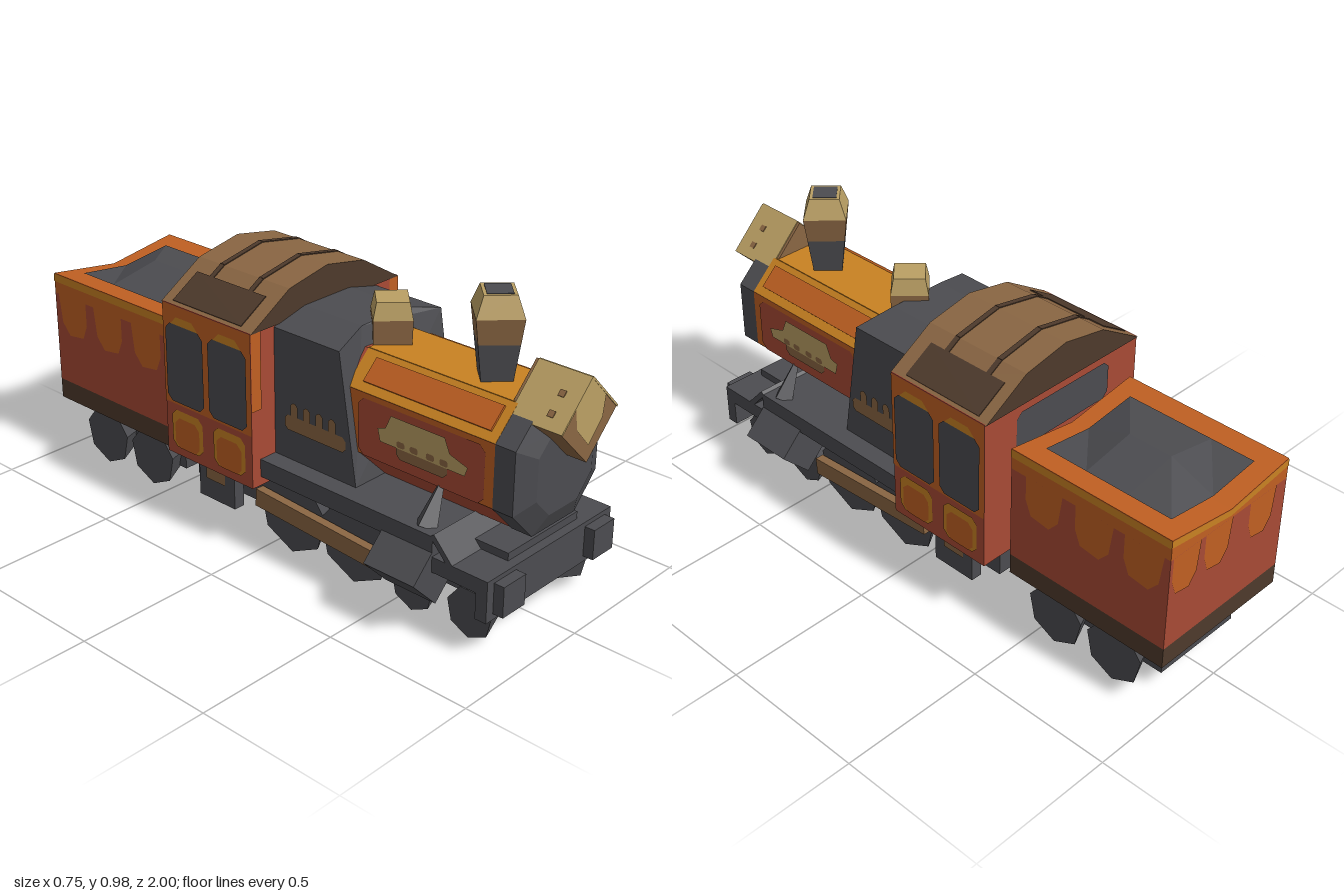
import * as THREE from 'three';

const mat = (name, color) => {
  const m = new THREE.MeshStandardMaterial({ color });
  m.name = name;
  return m;
};

export function createModel() {
  const gray = mat('iron gray', 0x4c4c50), red = mat('brick red', 0xa84a35);
  const orange = mat('orange', 0xc06022), yellow = mat('amber', 0xc98222);
  const tan = mat('brass', 0xbba064), brown = mat('bronze', 0x8a6643);
  const dark = mat('dark brown', 0x4e3a2c);
  const root = new THREE.Group();
  root.name = 'steamTrain';

  // Faceted mesh
  const add = (name, geo, material) => {
    const g = geo.index ? geo.toNonIndexed() : geo;
    g.computeVertexNormals();
    const mesh = new THREE.Mesh(g, material);
    mesh.name = name;
    root.add(mesh);
    return mesh;
  };
  // Box given by its limits
  const box = (name, m, x0, x1, y0, y1, z0, z1) =>
    add(name, new THREE.BoxGeometry(x1 - x0, y1 - y0, z1 - z0)
      .translate((x0 + x1) / 2, (y0 + y1) / 2, (z0 + z1) / 2), m);
  const shape = pts => new THREE.Shape(pts.map(p => new THREE.Vector2(p[0], p[1])));
  // Cross-section in x, y carried along z
  const prism = (name, m, pts, z0, z1) =>
    add(name, new THREE.ExtrudeGeometry(shape(pts), { depth: z1 - z0, bevelEnabled: false }).translate(0, 0, z0), m);
  // Painted panel on both flanks, points in z, y
  const flank = (name, m, x, pts) => {
    for (const s of [-1, 1]) {
      const g = new THREE.ShapeGeometry(shape(pts.map(p => [-s * p[0], p[1]])));
      add(name, g.rotateY(s * Math.PI / 2).translate(s * x, 0, 0), m);
    }
  };
  // Painted panel on an end, points in x, y
  const endPanel = (name, m, z, pts, dir) => {
    const g = new THREE.ShapeGeometry(shape(pts.map(p => [p[0] * dir, p[1]])));
    if (dir < 0) g.rotateY(Math.PI);
    add(name, g.translate(0, 0, z), m);
  };
  // Mirrored slabs lying along a sloping line in x, y
  const slab = (name, m, a, b, z0, z1, thick = 0.006) => {
    const dx = b[0] - a[0], dy = b[1] - a[1];
    for (const s of [-1, 1]) {
      add(name, new THREE.BoxGeometry(Math.hypot(dx, dy), thick, z1 - z0)
        .rotateZ(s * Math.atan2(dy, dx))
        .translate(s * (a[0] + b[0]) / 2, (a[1] + b[1]) / 2, (z0 + z1) / 2), m);
    }
  };
  const rect = (a, b, c, d, k = 0) => [[a + k, c], [b - k, c], [b, c + k], [b, d - k], [b - k, d], [a + k, d], [a, d - k], [a, c + k]];
  const lerp = (a, b, t) => [a[0] + (b[0] - a[0]) * t, a[1] + (b[1] - a[1]) * t];

  // Boiler
  const octagon = (k = 1) => [[.1, .72], [.195, .63], [.195, .43], [.1, .33], [-.1, .33], [-.195, .43], [-.195, .63], [-.1, .72]]
    .map(([x, y]) => [x * k, .525 + (y - .525) * k]);
  prism('boiler', red, octagon(), .2, .83);
  box('boilerTopPaint', yellow, -.1, .1, .717, .723, .28, .83);
  slab('boilerShoulderPaint', yellow, [.1, .72], [.195, .63], .28, .83);
  slab('boilerShoulderPanel', orange, [.118, .709], [.177, .653], .33, .8, .012);
  flank('boilerSideBorder', orange, .197, rect(.29, .83, .43, .63));
  flank('boilerSidePanel', red, .2, rect(.33, .8, .43, .615, .02));
  flank('namePlateBase', brown, .203, rect(.48, .67, .465, .53, .015));
  flank('namePlate', tan, .205, [[.745, .53], [.68, .55], [.66, .595], [.46, .595], [.44, .55], [.41, .54], [.42, .5], [.735, .5]]);
  for (const z of [.5, .55, .61, .66]) flank('namePlateStud', brown, .207, rect(z - .015, z + .015, .505, .525, .005));

  // Smokebox with chamfered nose
  prism('smokebox', gray, octagon(1.01), .83, .9);
  const nose = new THREE.ExtrudeGeometry(shape(octagon(1.01)), { depth: .03, bevelEnabled: false });
  const np = nose.attributes.position;
  for (let i = 0; i < np.count; i++) {
    if (np.getZ(i) > .01) np.setXY(i, np.getX(i) * .66, .525 + (np.getY(i) - .525) * .66);
  }
  add('smokeboxNose', nose.translate(0, 0, .9), gray);

  // Headlamp
  prism('lampBody', brown, [[0, .56], [.13, .69], [0, .82], [-.13, .69]], .81, .997);
  slab('lampHood', tan, [0, .82], [.13, .69], .82, 1);
  endPanel('lampGlass', tan, .999, [[0, .82], [.07, .745], [.06, .68], [0, .615], [-.06, .68], [-.07, .745]], 1);
  for (const t of [.35, .7]) slab('lampRivet', brown, [.13 * t, .822 - .13 * t], [.13 * t + .014, .808 - .13 * t], .93, .95, .01);

  // Chimney and steam dome, four-sided
  const stack = (name, m, r0, r1, y0, y1, z, open = false) =>
    add(name, new THREE.CylinderGeometry(r1, r0, y1 - y0, 4, 1, open).translate(0, (y0 + y1) / 2, z), m);
  stack('chimneyPipe', gray, .062, .085, .7, .84, .67);
  stack('chimneyFlare', brown, .085, .098, .84, .92, .67);
  stack('chimneyRim', tan, .098, .068, .92, .985, .67);
  stack('chimneyMouth', gray, .054, .054, .98, .987, .67);
  stack('domeBase', brown, .08, .085, .68, .8, .28);
  stack('domeCap', tan, .085, .07, .8, .855, .28);

  // Firebox with raked front
  const fire = new THREE.ExtrudeGeometry(shape([[-.23, .33], [.23, .33], [.23, .75], [.1, .782], [-.1, .782], [-.23, .75]]), { depth: 1, bevelEnabled: false });
  const fp = fire.attributes.position;
  for (let i = 0; i < fp.count; i++) {
    const y = fp.getY(i);
    if (fp.getZ(i) > .5) fp.setZ(i, y > .76 ? .25 : .35 - (y - .33) / 6);
  }
  add('firebox', fire, gray);
  flank('pipeManifold', brown, .233, rect(.06, .31, .43, .48, .012));
  for (let i = 0; i < 4; i++) flank('pipe', brown, .234, rect(.085 + i * .052, .115 + i * .052, .46, .525, .01));

  // Cab
  box('cabBody', red, -.33, .33, .24, .757, -.37, .015);
  flank('cabSidePaint', orange, .332, rect(-.37, .015, .42, .755));
  for (const z of [-.083, -.272]) {
    flank('windowTrim', yellow, .334, rect(z - .06, z + .06, .66, .72, .025));
    flank('cabWindow', gray, .336, rect(z - .083, z + .083, .43, .695, .02));
    flank('lowerPanelTrim', yellow, .333, rect(z - .07, z + .07, .27, .4, .02));
    flank('lowerPanel', orange, .335, rect(z - .055, z + .055, .27, .375, .02));
  }
  for (const s of [-1, 1]) endPanel('cabFrontPaint', orange, .018, rect(s * .31 - .02, s * .31 + .02, .5, .755), 1);
  endPanel('cabRearWindow', gray, -.373, rect(-.2, .2, .6, .73, .02), -1);

  // Arched roof with dark gables
  const eave = [.33, .755], bend = [.165, .855], ridge = [0, .886];
  prism('roof', [dark, brown], [[-.33, .755], eave, bend, ridge, [-.165, .855]], -.375, .018);
  slab('roofPatch', dark, lerp(eave, bend, .08), lerp(eave, bend, .72), -.335, -.035);
  for (const z of [-.27, -.1]) {
    slab('roofRib', dark, lerp(eave, bend, .7), bend, z - .009, z + .009);
    slab('roofRib', dark, bend, ridge, z - .009, z + .009);
  }

  // Running plate, frame and front beam
  box('runningPlate', gray, -.295, .295, .27, .33, -.02, .7);
  box('frame', gray, -.165, .165, .1, .29, -.02, .87);
  box('rearFrame', gray, -.23, .23, .13, .26, -.34, 0);
  box('frontDeck', gray, -.295, .295, .215, .265, .69, .89);
  box('bufferBeam', gray, -.295, .295, .13, .265, .86, .9);
  add('slopedStep', new THREE.BoxGeometry(.59, .018, .11).rotateX(.82).translate(0, .293, .735), gray);
  for (const s of [-1, 1]) {
    box('buffer', gray, s * .215 - .05, s * .215 + .05, .15, .25, .9, .935);
    add('cylinder', new THREE.CylinderGeometry(.1, .1, .19, 4).rotateX(Math.PI / 2).translate(s * .273, .2, .605), gray);
    add('boilerStrut', new THREE.CylinderGeometry(.006, .04, .15, 4).rotateZ(s * .5).translate(s * .215, .385, .64), gray);
    box('cabStep', gray, s * .265 - .02, s * .265 + .02, .1, .25, -.275, -.115);
    add('sideRod', new THREE.BoxGeometry(.03, .06, .515).rotateX(.06).translate(s * .25, .15, .217), brown);
  }
  flank('cabStepPlate', brown, .288, rect(-.24, -.155, .17, .23));

  // Seven-sided wheels tapering inwards: z, radius
  for (const [z, r] of [[.79, .083], [.575, .08], [.345, .14], [.085, .14], [-.57, .105], [-.8, .105]]) {
    for (const s of [-1, 1]) {
      add('wheel', new THREE.CylinderGeometry(r, r * .35, .15, 7)
        .rotateX(Math.PI / 2).rotateY(s * Math.PI / 2).translate(s * .155, r + .004, z), gray);
    }
  }

  // Tender body with sagging rim
  box('tenderFrame', gray, -.165, .165, .07, .21, -.93, -.475);
  box('tenderBase', dark, -.26, .26, .2, .27, -1, -.41);
  box('tenderBody', red, -.26, .26, .27, .59, -1, -.41);
  prism('tenderRim', orange, [[-.26, .59], [.26, .59], [.26, .66], [0, .622], [-.26, .66]], -1, -.41);
  flank('tenderStripe', yellow, .262, rect(-1, -.41, .632, .658));
  const sag = [[-.26, .658], [0, .62], [.26, .658], [.26, .635], [0, .6], [-.26, .635]];
  endPanel('tenderRearStripe', yellow, -.9995, sag, -1);
  root.children[root.children.length - 1].position.z = -.002;
  const drip = (c, w) => [[c - w, .592], [c + w, .592], [c + w, .51], [c + w * .7, .46], [c - w * .3, .45], [c - w * .8, .49]];
  for (const z of [-.54, -.73, -.91]) flank('tenderDrip', orange, .262, drip(z, .07));
  for (const x of [-.15, .05, .19]) endPanel('tenderRearDrip', orange, -1.002, drip(x, .06), -1);

  // Coal heap: grid of heights over the tender
  const coal = new THREE.PlaneGeometry(.37, .46, 2, 3).rotateX(-Math.PI / 2).translate(0, 0, -.705);
  const cp = coal.attributes.position;
  for (let i = 0; i < cp.count; i++) {
    const mid = Math.abs(cp.getX(i)) < .01, end = Math.abs(cp.getZ(i) + .705) > .2;
    cp.setY(i, mid ? (end ? .632 : .69) : .655);
  }
  add('coalHeap', coal, gray);
  return root;
}
